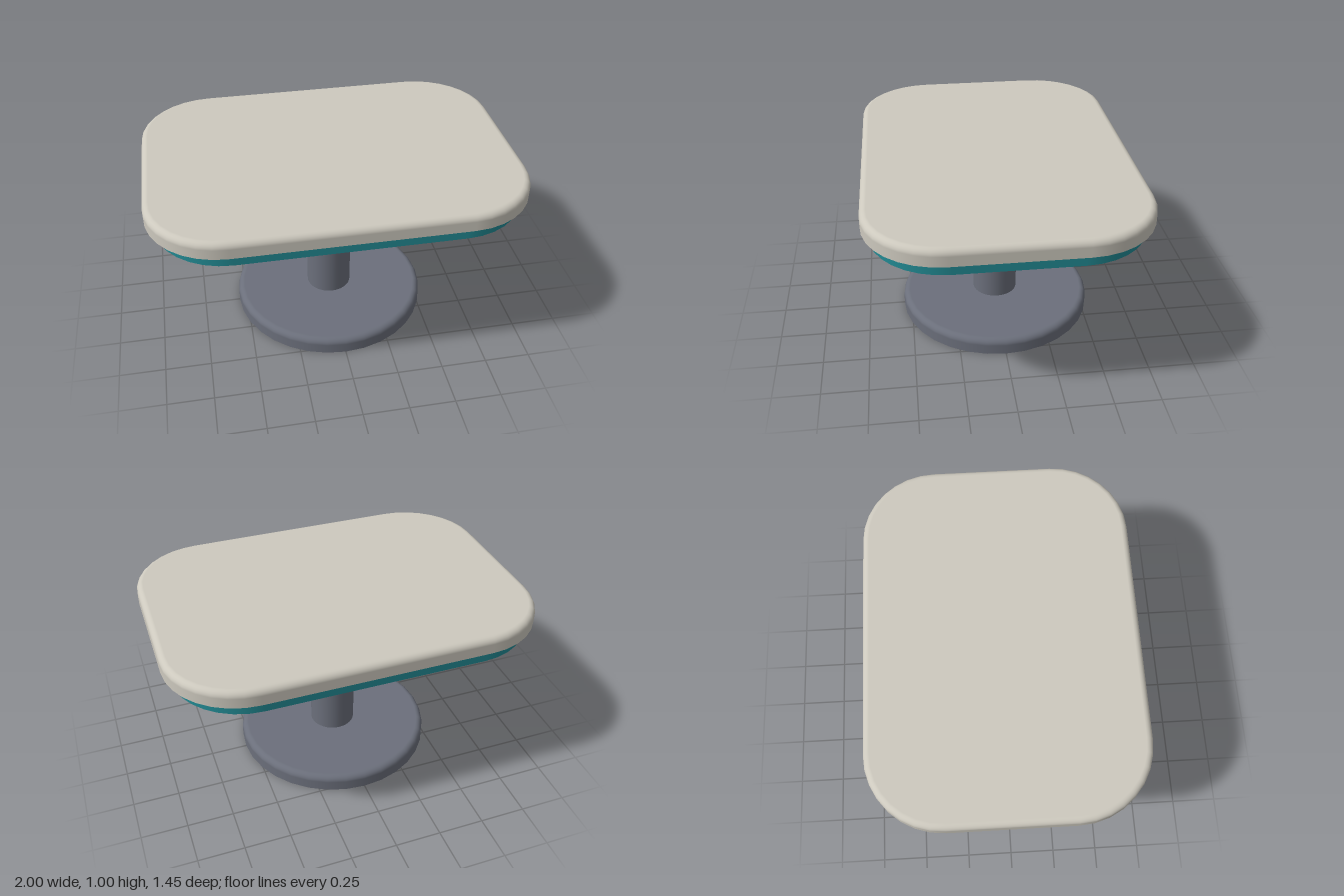
import * as THREE from 'three';

// Points of a rounded rectangle with their outward directions
function outline(halfX, halfZ, r, steps = 8) {
  const pts = [];
  const signs = [[1, 1], [-1, 1], [-1, -1], [1, -1]];
  signs.forEach(([sx, sz], q) => {
    for (let i = 0; i <= steps; i++) {
      const a = (q + i / steps) * Math.PI / 2;
      const nx = Math.cos(a), nz = Math.sin(a);
      pts.push({ x: sx * (halfX - r) + nx * r, z: sz * (halfZ - r) + nz * r, nx, nz });
    }
  });
  return pts;
}

// Slab with a flat underside and a rounded upper rim
function slab(halfX, halfZ, r, y0, y1, bevel) {
  const pts = outline(halfX, halfZ, r), n = pts.length;
  const pos = [], nor = [], idx = [];
  // Each ring: inset, height, outward and upward parts of the normal
  const rings = [[0, y0, 1, 0]];
  const steps = bevel ? 5 : 0;
  for (let i = 0; i <= steps; i++) {
    const a = steps ? i / steps * Math.PI / 2 : 0;
    rings.push([bevel * (1 - Math.cos(a)), y1 - bevel * (1 - Math.sin(a)), Math.cos(a), Math.sin(a)]);
  }
  const addRing = ([inset, y, out, up]) => {
    for (const p of pts) {
      pos.push(p.x - p.nx * inset, y, p.z - p.nz * inset);
      nor.push(p.nx * out, up, p.nz * out);
    }
  };
  rings.forEach(addRing);
  for (let k = 0; k < rings.length - 1; k++) {
    for (let i = 0; i < n; i++) {
      const j = (i + 1) % n, a = k * n + i, b = k * n + j;
      idx.push(a, a + n, b, b, a + n, b + n);
    }
  }
  // Flat caps
  for (const [inset, y, up] of [[bevel, y1, 1], [0, y0, -1]]) {
    const start = pos.length / 3;
    addRing([inset, y, 0, up]);
    pos.push(0, y, 0);
    nor.push(0, up, 0);
    for (let i = 0; i < n; i++) {
      const a = start + i, b = start + (i + 1) % n, c = start + n;
      if (up > 0) idx.push(c, b, a);
      else idx.push(c, a, b);
    }
  }
  const g = new THREE.BufferGeometry();
  g.setAttribute('position', new THREE.Float32BufferAttribute(pos, 3));
  g.setAttribute('normal', new THREE.Float32BufferAttribute(nor, 3));
  g.setIndex(idx);
  return g;
}

export function createModel() {
  const material = (name, color) => {
    const m = new THREE.MeshStandardMaterial({ color });
    m.name = name;
    return m;
  };
  const cream = material('cream', 0xcdc9be);
  const teal = material('teal', 0x228a93);
  const grey = material('slate grey', 0x6b6f7b);

  const group = new THREE.Group();
  group.name = 'pedestalTable';
  const add = (name, geometry, mat) => {
    const mesh = new THREE.Mesh(geometry, mat);
    mesh.name = name;
    group.add(mesh);
    return mesh;
  };

  add('tableTop', slab(1, 0.725, 0.4, 0.91, 1, 0.036), cream);
  add('apron', slab(0.96, 0.69, 0.38, 0.84, 0.91, 0), teal);
  add('column', new THREE.CylinderGeometry(0.127, 0.127, 0.76, 32), grey).position.y = 0.465;
  add('base', slab(0.545, 0.545, 0.545, 0, 0.092, 0.036), grey);
  return group;
}
